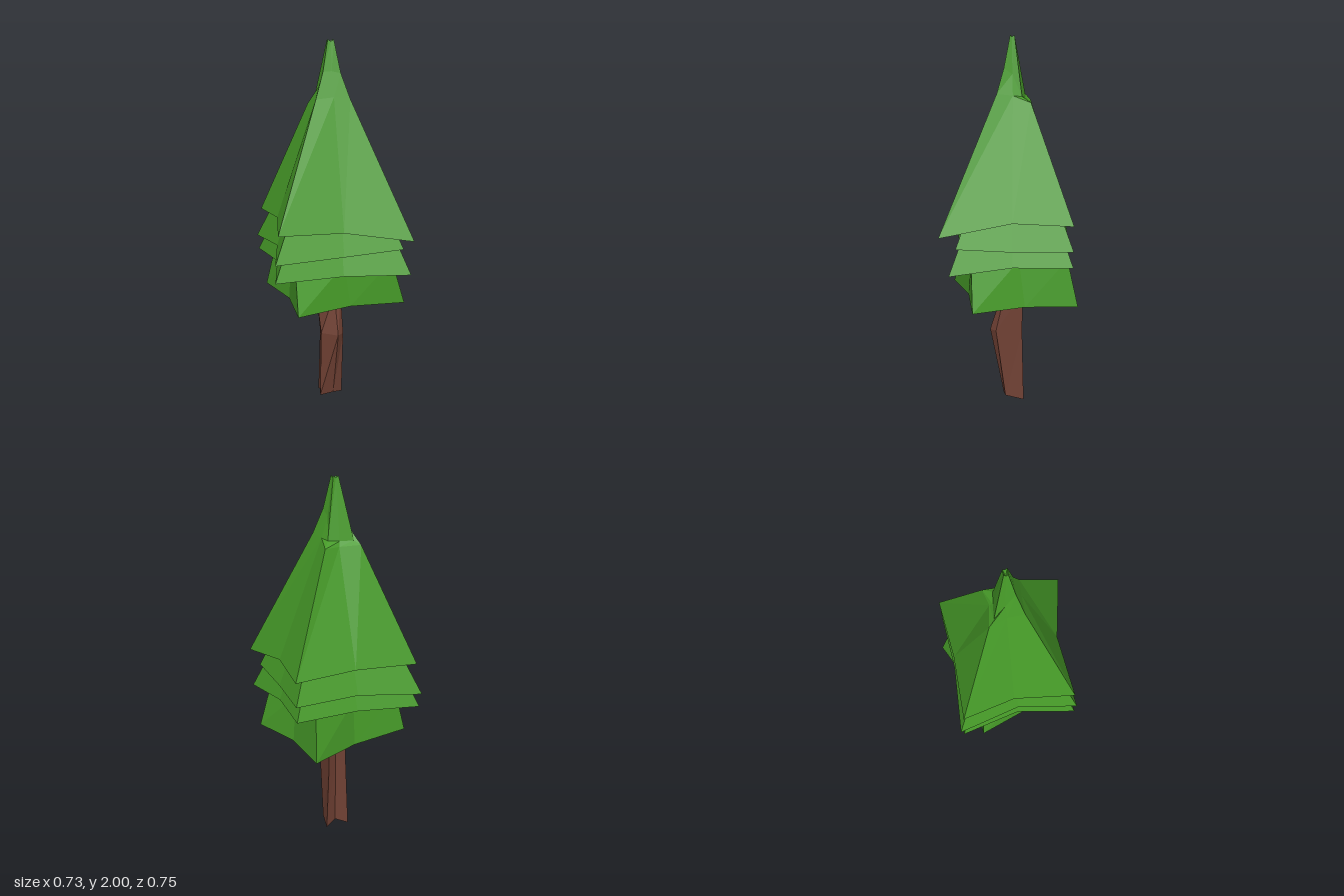
import * as THREE from 'three';

const material = (color) => new THREE.MeshStandardMaterial({
  color, flatShading: true, roughness: 0.9, side: THREE.DoubleSide,
});

// Skin a stack of equal-length rings (bottom to top, counterclockwise from above), with optional end points.
function loft(name, rings, mat, { bottom, top }) {
  const points = [];
  const tri = (...corners) => corners.forEach((c) => points.push(...c));
  const low = rings[0], high = rings[rings.length - 1];
  for (let i = 0; i < low.length; i++) {
    const j = (i + 1) % low.length;
    for (let r = 0; r < rings.length - 1; r++) {
      const a = rings[r], b = rings[r + 1];
      tri(a[i], a[j], b[j]);
      tri(a[i], b[j], b[i]);
    }
    if (bottom) tri(low[j], low[i], bottom);
    if (top) tri(high[i], high[j], top);
  }
  const geometry = new THREE.BufferGeometry();
  geometry.setAttribute('position', new THREE.Float32BufferAttribute(points, 3));
  geometry.computeVertexNormals();
  const mesh = new THREE.Mesh(geometry, mat);
  mesh.name = name;
  return mesh;
}

export function createModel() {
  const tree = new THREE.Group();
  tree.name = 'pineTree';
  const green = material(0x469a28);
  const brown = material(0x6f4033);

  // Trunk: ridged, grooved at the back, bent forward at mid height
  const trunk = [
    [[-0.065, 0.01, 0.02], [0.01, 0.022, 0.025], [0.062, 0.02, 0.018], [0.087, 0.003, -0.082],
      [0.02, 0.025, -0.055], [-0.047, 0, -0.087], [-0.05, 0.02, -0.04]],
    [[-0.063, 0.4, 0.038], [0.018, 0.4, 0.1], [0.055, 0.4, 0.07], [0.067, 0.4, -0.074],
      [0.015, 0.4, -0.05], [-0.037, 0.4, -0.075], [-0.053, 0.4, -0.025]],
    [[-0.087, 0.6, 0.04], [0.015, 0.62, 0.03], [0.055, 0.62, 0.02], [0.067, 0.62, -0.077],
      [0.015, 0.62, -0.05], [-0.037, 0.62, -0.075], [-0.053, 0.62, -0.025]],
  ];
  tree.add(loft('trunk', trunk, brown, { bottom: [0.01, 0.025, -0.025] }));

  // Branch rings run from the front corner at -x, through the middle of the front, and on around.
  // Bottom tier: underside from the trunk out to the hem, then the walls
  const bottomTier = [
    [[-0.08, 0.55, 0.05], [0.01, 0.605, 0.03], [0.05, 0.61, 0.015], [0.062, 0.61, -0.03],
      [0.06, 0.61, -0.07], [0.01, 0.605, -0.04], [-0.035, 0.6, -0.07], [-0.06, 0.58, -0.01]],
    [[-0.255, 0.61, 0.295], [0.05, 0.615, 0.22], [0.362, 0.6, 0.207], [0.28, 0.605, -0.07],
      [0.275, 0.6, -0.35], [0, 0.6, -0.25], [-0.31, 0.625, -0.25], [-0.24, 0.62, 0.02]],
    [[-0.25, 0.85, 0.22], [0.02, 0.85, 0.205], [0.285, 0.85, 0.21], [0.25, 0.85, -0.04],
      [0.25, 0.85, -0.295], [0, 0.85, -0.23], [-0.26, 0.85, -0.23], [-0.22, 0.85, 0]],
  ];
  tree.add(loft('bottomBranches', bottomTier, green, { top: [0.02, 1.5, -0.03] }));

  // Middle tiers: open skirts tucked under the tier above
  const skirts = [
    { name: 'lowerBranches', apex: [0.02, 1.7, -0.03], hem: [
      [-0.367, 0.795, 0.267], [0, 0.8, 0.262], [0.352, 0.797, 0.326], [0.325, 0.83, 0],
      [0.362, 0.832, -0.31], [0.02, 0.83, -0.315], [-0.33, 0.803, -0.36], [-0.29, 0.82, -0.04]] },
    { name: 'middleBranches', apex: [0.02, 1.75, -0.03], hem: [
      [-0.367, 0.893, 0.273], [0, 0.907, 0.268], [0.32, 0.93, 0.29], [0.325, 0.912, 0],
      [0.365, 0.918, -0.31], [0.02, 0.92, -0.318], [-0.335, 0.88, -0.375], [-0.29, 0.91, -0.04]] },
  ];
  for (const { name, apex, hem } of skirts) tree.add(loft(name, [hem], green, { top: apex }));

  // Top tier: hem, shoulder with a small ledge at the back, neck and narrow notched tip
  const topTier = [
    [[-0.347, 1.042, 0.258], [0, 1.035, 0.262], [0.345, 0.995, 0.375], [0.32, 1.06, 0],
      [0.366, 1.05, -0.31], [0.03, 1.06, -0.31], [-0.315, 1.045, -0.345], [-0.282, 1.06, -0.06]],
    [[-0.09, 1.7, 0.045], [0.005, 1.71, 0.053], [0.09, 1.7, 0.065], [0.08, 1.69, -0.02],
      [0.105, 1.655, -0.113], [0.02, 1.655, -0.1], [-0.09, 1.66, -0.13], [-0.075, 1.68, -0.04]],
    [[-0.042, 1.84, 0.012], [0.003, 1.84, 0.017], [0.05, 1.83, 0.025], [0.045, 1.8, -0.02],
      [0.069, 1.685, -0.069], [0.01, 1.68, -0.085], [-0.064, 1.68, -0.1], [-0.05, 1.76, -0.04]],
    [[-0.01, 2, -0.014], [0.006, 1.99, -0.012], [0.022, 2, -0.01], [0.021, 1.99, -0.02],
      [0.02, 2, -0.033], [0.006, 1.99, -0.034], [-0.008, 2, -0.035], [-0.009, 1.99, -0.024]],
  ];
  tree.add(loft('topBranches', topTier, green, { top: [0.007, 1.95, -0.022] }));

  return tree;
}
